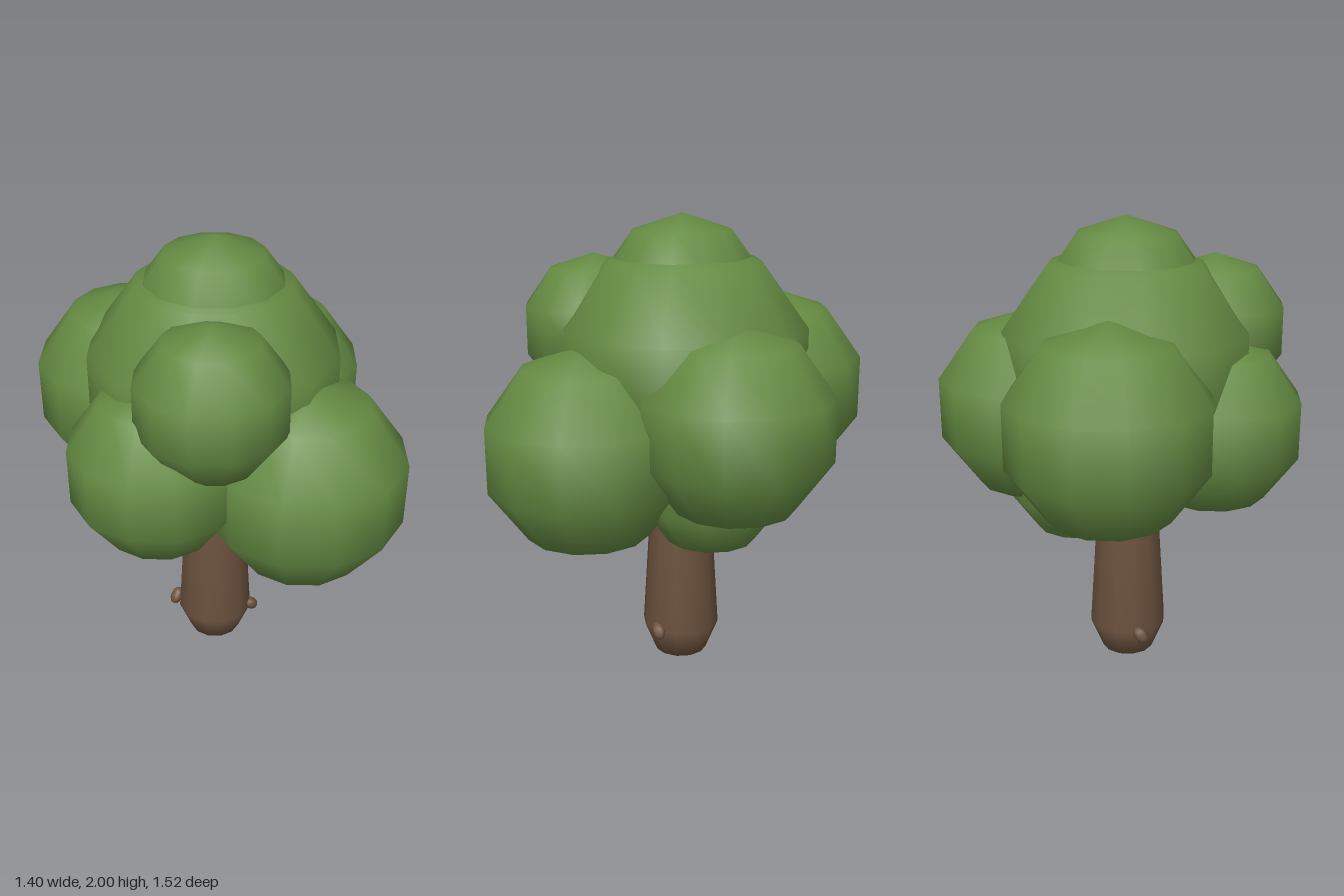
import * as THREE from 'three';

export function createModel() {
  const tree = new THREE.Group();
  tree.name = 'tree';

  const leaf = new THREE.MeshStandardMaterial({ color: 0x648a42 });
  leaf.name = 'leafGreen';
  const bark = new THREE.MeshStandardMaterial({ color: 0x6c523e });
  bark.name = 'barkBrown';

  const add = (name, geometry, material, position) => {
    const mesh = new THREE.Mesh(geometry, material);
    mesh.name = name;
    mesh.position.set(...position);
    tree.add(mesh);
    return mesh;
  };

  // Foliage: coarse, smooth-shaded balls [name, x, y, z, radius]
  const foliage = [
    ['crownCore', -0.01, 1.365, -0.02, 0.55],
    ['crownTop', -0.01, 1.65, -0.015, 0.35],
    ['frontLeftFoliage', 0.28, 1.055, 0.34, 0.44],
    ['frontRightFoliage', -0.3, 1.14, 0.22, 0.385],
    ['backLeftFoliage', 0.3, 1.19, -0.275, 0.42],
    ['backRightFoliage', -0.29, 1.23, -0.35, 0.435],
    ['upperFrontFoliage', -0.12, 1.5, 0.385, 0.32],
    ['lowerBackFoliage', 0.14, 0.912, -0.16, 0.32],
  ];
  for (const [name, x, y, z, r] of foliage) {
    add(name, new THREE.SphereGeometry(r, 12, 5), leaf, [x, y, z]);
  }

  // Trunk: tapered, with a rounded foot
  const profile = [
    [0, 0], [0.115, 0.05], [0.17, 0.185], [0.132, 0.8], [0.11, 1.0], [0, 1.05],
  ].map(([r, y]) => new THREE.Vector2(r, y));
  add('trunk', new THREE.LatheGeometry(profile, 12), bark, [-0.01, 0, -0.008]);

  // Bark knots: small tilted eggs on both sides
  const knots = [
    ['leftKnot', 0.145, 0.19, 0.068, -0.5, 0.65],
    ['rightKnot', -0.18, 0.182, -0.08, 0.4, -0.5],
  ];
  for (const [name, x, y, z, tiltX, tiltZ] of knots) {
    const knot = add(name, new THREE.SphereGeometry(0.03, 10, 6), bark, [x, y, z]);
    knot.scale.set(0.95, 1.4, 0.95);
    knot.rotation.set(-tiltX, 0, tiltZ);
  }

  return tree;
}
